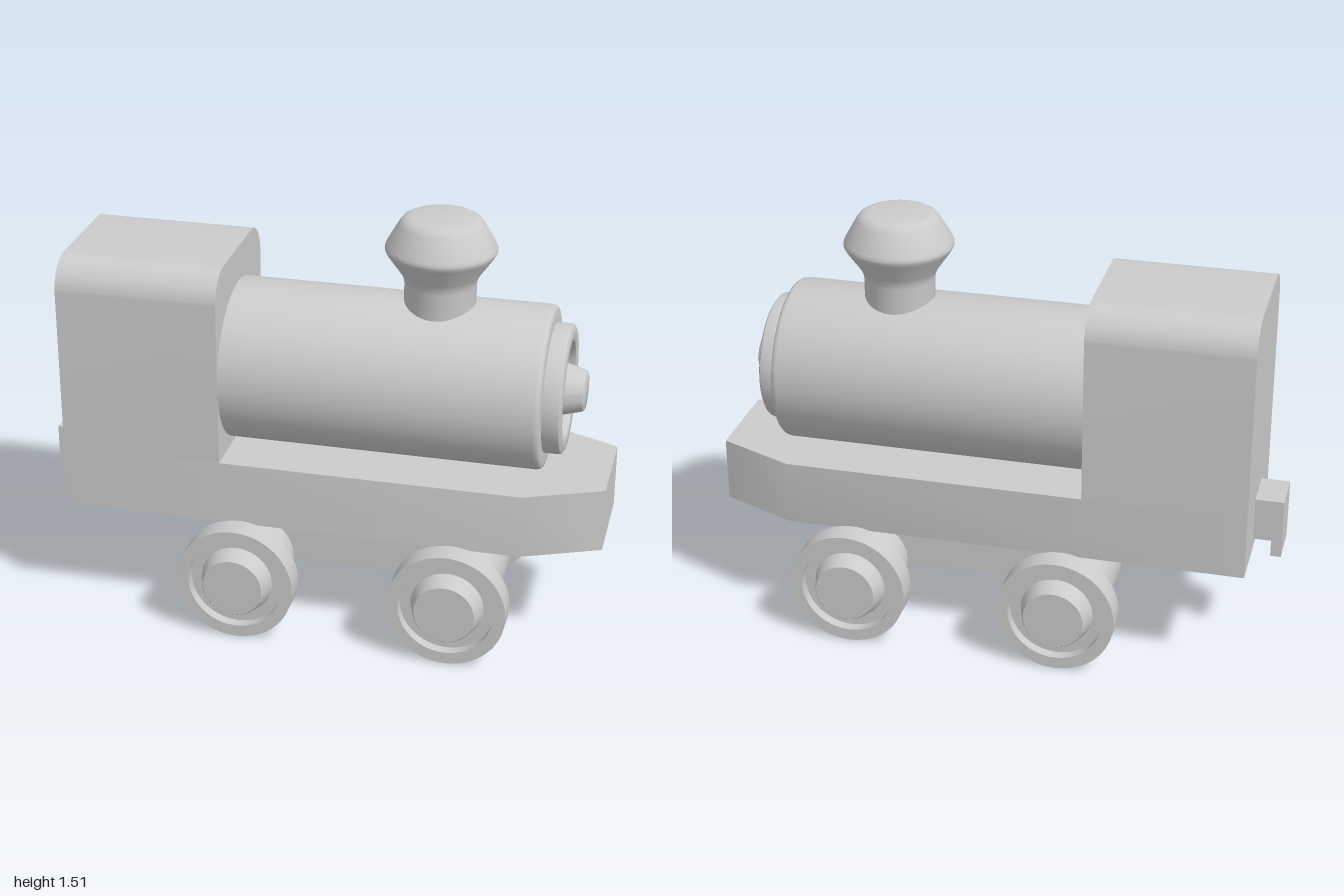
import * as THREE from 'three';
import { toCreasedNormals } from 'three/addons/utils/BufferGeometryUtils.js';

const material = new THREE.MeshStandardMaterial({ color: 0xcccccc });

function add(parent, name, geometry, x = 0, y = 0, z = 0) {
  const mesh = new THREE.Mesh(geometry, material);
  mesh.name = name;
  mesh.position.set(x, y, z);
  parent.add(mesh);
  return mesh;
}

// Turned part about the y axis; profile is [radius, height] from bottom to top
function turned(profile, segments = 64) {
  const points = profile.map(([r, h]) => new THREE.Vector2(r, h));
  return toCreasedNormals(new THREE.LatheGeometry(points, segments), 0.6);
}

// Outline extruded to a given depth, centred on z = 0
function extruded(shape, depth) {
  const g = new THREE.ExtrudeGeometry(shape, { depth, bevelEnabled: false, curveSegments: 12 });
  g.translate(0, 0, -depth / 2);
  return toCreasedNormals(g, 0.5);
}

const polygon = (pts) => new THREE.Shape(pts.map(([x, y]) => new THREE.Vector2(x, y)));

export function createModel() {
  const model = new THREE.Group();
  model.name = 'toyLocomotive';

  // Base plank with a tapered nose, drawn in plan and stood up
  const base = extruded(polygon([
    [-0.9, -0.285], [0.73, -0.285], [1, -0.17], [1, 0.17], [0.73, 0.285], [-0.9, 0.285],
  ]), 0.23);
  base.rotateX(-Math.PI / 2);
  add(model, 'base', base, 0, 0.525, 0);

  // Axle carrier under the base
  add(model, 'axleCarrier', new THREE.BoxGeometry(0.905, 0.21, 0.26), 0.1175, 0.307, 0);

  // Cab with rounded roof edges
  const w = 0.285, r = 0.115, top = 1.335;
  const cabShape = new THREE.Shape();
  cabShape.moveTo(-w, 0.64);
  cabShape.lineTo(w, 0.64);
  cabShape.lineTo(w, top - r);
  cabShape.absarc(w - r, top - r, r, 0, Math.PI / 2);
  cabShape.lineTo(-w + r, top);
  cabShape.absarc(-w + r, top - r, r, Math.PI / 2, Math.PI);
  cabShape.closePath();
  const cab = extruded(cabShape, 0.57);
  cab.rotateY(Math.PI / 2);
  add(model, 'cab', cab, -0.615, 0, 0);

  // Boiler, front ring with its recess, and cone-shaped lamp, turned along x
  const boiler = add(model, 'boiler', turned([
    [0, -0.34], [0.285, -0.34], [0.285, 0.755], [0.282, 0.766], [0.276, 0.773], [0.265, 0.776],
    [0.225, 0.776], [0.225, 0.825], [0.222, 0.834], [0.213, 0.84],
    [0.175, 0.84], [0.168, 0.837], [0.165, 0.83], [0.165, 0.77], [0, 0.77],
  ], 96), 0, 0.925, 0);
  boiler.rotation.z = -Math.PI / 2;
  const lamp = add(model, 'lamp', turned([
    [0.105, 0.765], [0.073, 0.885], [0.07, 0.893], [0.062, 0.898], [0, 0.898],
  ], 48), 0, 0.925, 0);
  lamp.rotation.z = -Math.PI / 2;

  // Flared chimney
  add(model, 'chimney', turned([
    [0.123, 1.1], [0.123, 1.275], [0.126, 1.293], [0.134, 1.312], [0.183, 1.382],
    [0.19, 1.395], [0.191, 1.403], [0.187, 1.414], [0.145, 1.488], [0.134, 1.502],
    [0.12, 1.51], [0.105, 1.513], [0, 1.513],
  ]), 0.383, 0, 0);

  // Two wheel sets: thick axle with a recessed wheel and hub at each end
  const wheel = turned([
    [0, 0.283], [0.21, 0.283], [0.21, 0.372], [0.167, 0.372], [0.167, 0.335], [0, 0.335],
  ]);
  const hub = turned([
    [0.13, 0.33], [0.11, 0.393], [0.106, 0.398], [0, 0.398],
  ], 48);
  const axle = turned([[0.155, -0.285], [0.155, 0.285]]);
  for (const [label, x] of [['rear', -0.26], ['front', 0.495]]) {
    const set = new THREE.Group();
    set.name = label + 'WheelSet';
    set.position.set(x, 0.21, 0);
    model.add(set);
    add(set, 'axle', axle).rotation.x = Math.PI / 2;
    for (const [side, s] of [['near', 1], ['far', -1]]) {
      add(set, side + 'Wheel', wheel).rotation.x = s * Math.PI / 2;
      add(set, side + 'Hub', hub).rotation.x = s * Math.PI / 2;
    }
  }

  // Rear coupling hook
  add(model, 'couplingHook', extruded(polygon([
    [-1, 0.39], [-0.963, 0.39], [-0.963, 0.45], [-0.895, 0.45], [-0.895, 0.605], [-1, 0.605],
  ]), 0.16));

  return model;
}
